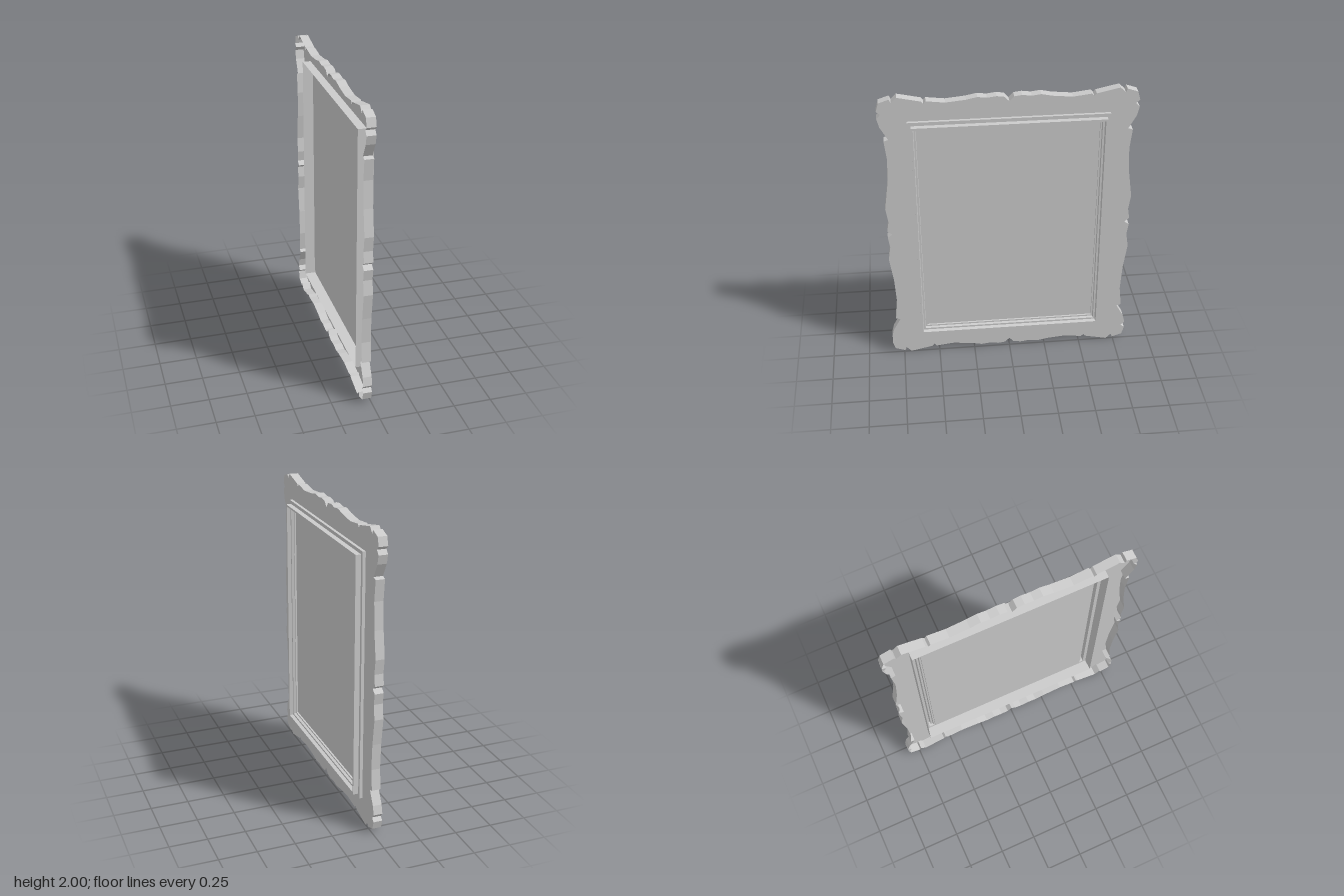
import * as THREE from 'three';

const material = new THREE.MeshStandardMaterial({
  color: 0xcccccc, flatShading: true, side: THREE.DoubleSide,
});

// One quarter of the scalloped outline, from top centre to side centre.
const QUARTER = [
  [0, 0.94], [0.03, 0.973], [0.08, 0.98], [0.14, 0.972], [0.2, 0.98], [0.27, 0.965],
  [0.4, 0.952], [0.52, 0.967], [0.535, 0.95], [0.55, 0.967], [0.7, 1], [0.735, 0.965],
  [0.745, 0.99], [0.813, 0.967], [0.83, 0.91], [0.805, 0.888], [0.83, 0.86], [0.815, 0.8],
  [0.765, 0.71], [0.795, 0.7], [0.78, 0.56], [0.79, 0.38], [0.815, 0.2], [0.8, 0.1],
  [0.812, 0.025], [0.78, 0],
];

// Mirror the quarter twice into a closed counter-clockwise loop.
function outline() {
  const right = [...QUARTER, ...QUARTER.slice(0, -1).reverse().map(([x, y]) => [x, -y])];
  const left = right.slice(1, -1).reverse().map(([x, y]) => [-x, y]);
  return [...right, ...left].reverse();
}

// Rectangle inset from the outer border of the moulding.
function rect(inset) {
  const w = 0.645 - inset, h = 0.832 - inset;
  return [[-w, -h], [w, -h], [w, h], [-w, h]];
}

// Skin a series of loops, each given as { loop, z }.
function loft(rings) {
  const n = rings[0].loop.length, pos = [], index = [];
  for (const { loop, z } of rings) for (const [x, y] of loop) pos.push(x, y, z);
  for (let r = 0; r < rings.length - 1; r++) {
    for (let i = 0; i < n; i++) {
      const a = r * n + i, b = r * n + (i + 1) % n;
      index.push(a, b, b + n, a, b + n, a + n);
    }
  }
  const geo = new THREE.BufferGeometry();
  geo.setAttribute('position', new THREE.Float32BufferAttribute(pos, 3));
  geo.setIndex(index);
  const flat = geo.toNonIndexed();
  flat.computeVertexNormals();
  return flat;
}

export function createModel() {
  const group = new THREE.Group();
  group.name = 'pictureFrame';
  const add = (name, geo) => {
    geo.rotateY(Math.PI / 2); // the picture faces +x
    geo.translate(0, 1, 0);
    const mesh = new THREE.Mesh(geo, material);
    mesh.name = name;
    group.add(mesh);
  };
  const toVec = ([x, y]) => new THREE.Vector2(x, y);

  // Scalloped face with a rectangular opening, open at the back
  const edge = outline();
  const face = new THREE.Shape(edge.map(toVec));
  face.holes.push(new THREE.Path(rect(0).reverse().map(toVec)));
  add('scallopedFace', new THREE.ShapeGeometry(face));
  add('scallopedRim', loft([{ loop: edge, z: -0.06 }, { loop: edge, z: 0 }]));

  // Stepped moulding: back wall, two raised steps, then down to the panel
  const profile = [
    [0, -0.055], [0, 0.02], [0.023, 0.02], [0.023, 0.055], [0.036, 0.055],
    [0.04, 0.03], [0.052, 0.03], [0.055, 0.012], [0.065, 0.012], [0.065, 0],
  ];
  add('moulding', loft(profile.map(([inset, z]) => ({ loop: rect(inset), z }))));

  // Flat picture panel
  add('picturePanel', new THREE.PlaneGeometry(1.16, 1.534));
  return group;
}
